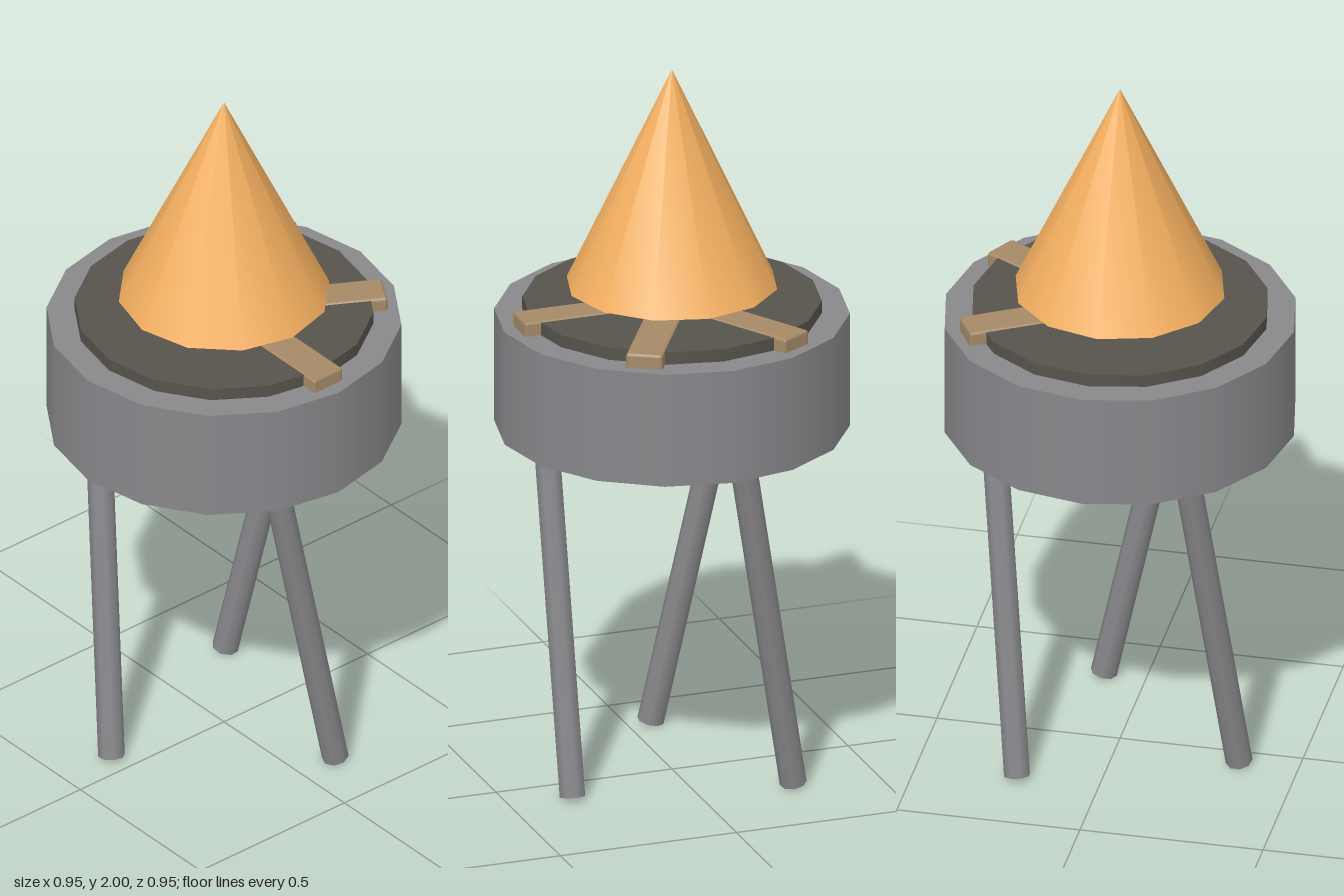
import * as THREE from 'three';
import { RoundedBoxGeometry } from 'three/addons/geometries/RoundedBoxGeometry.js';

const material = (color) => new THREE.MeshStandardMaterial({ color });

export function createModel() {
  const model = new THREE.Group();
  model.name = 'brazier';
  const iron = material(0x88888c);
  const coal = material(0x57534c);
  const wood = material(0xa68a68);
  const fire = material(0xf5b060);

  const add = (name, geometry, mat, parent = model) => {
    const mesh = new THREE.Mesh(geometry, mat);
    mesh.name = name;
    parent.add(mesh);
    return mesh;
  };
  // Upright cylinder between two heights
  const drum = (radius, bottom, top, sides) =>
    new THREE.CylinderGeometry(radius, radius, top - bottom, sides).translate(0, (top + bottom) / 2, 0);

  // Fire bowl and its bed of coals
  add('bowl', drum(0.475, 0.99, 1.31, 16), iron);
  add('coalBed', drum(0.4, 1.25, 1.345, 16), coal);

  // Three skewed legs, each a third of a turn apart
  const foot = new THREE.Vector3(0.325, 0.007, -0.115);
  const head = new THREE.Vector3(0.325, 1.05, 0.108);
  const along = head.clone().sub(foot);
  for (let i = 0; i < 3; i++) {
    const pivot = new THREE.Group();
    pivot.name = 'legPivot';
    pivot.rotation.y = (i * Math.PI * 2) / 3;
    model.add(pivot);
    const leg = add('leg', new THREE.CylinderGeometry(0.036, 0.036, along.length(), 8), iron, pivot);
    leg.position.copy(foot).add(head).multiplyScalar(0.5);
    leg.quaternion.setFromUnitVectors(new THREE.Vector3(0, 1, 0), along.clone().normalize());
  }

  // Firewood fanned out from the centre towards the back
  for (let i = 0; i < 3; i++) {
    const log = add('log', new RoundedBoxGeometry(0.435, 0.1, 0.1, 1, 0.008).translate(0.2175, 1.299, 0), wood);
    log.rotation.y = (i * Math.PI) / 3;
  }

  // Flame hovering over the coals
  add('flame', new THREE.ConeGeometry(0.285, 0.61, 12).translate(0, 1.695, 0), fire);

  return model;
}
